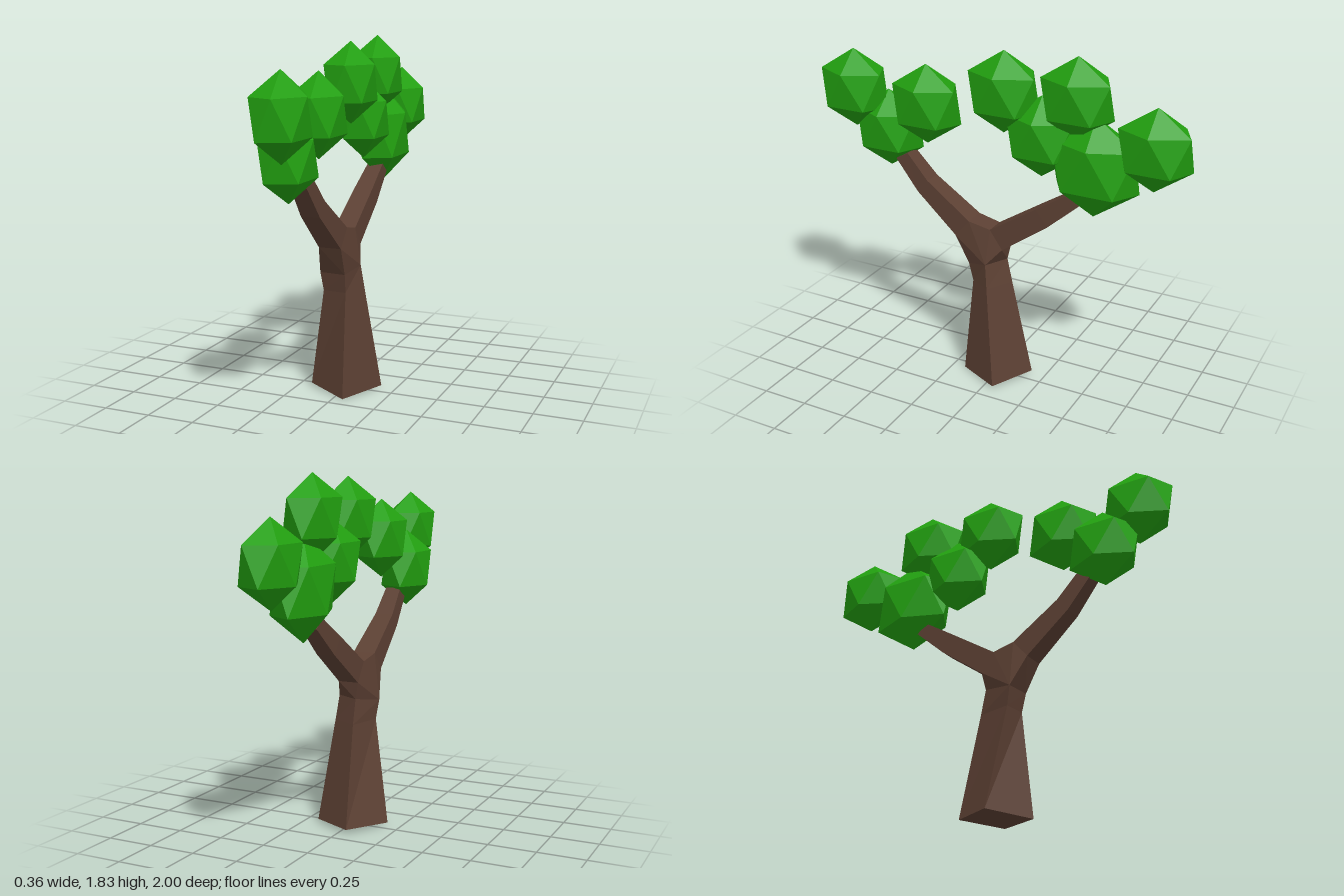
import * as THREE from 'three';
import { ConvexGeometry } from 'three/addons/geometries/ConvexGeometry.js';

const bark = new THREE.MeshStandardMaterial({ color: 0x5c4033, flatShading: true });
const leaf = new THREE.MeshStandardMaterial({ color: 0x22a010, flatShading: true });

// Skin over four-cornered rings, closed at both ends; corners run counterclockwise seen from the tip
function loft(rings) {
  const pos = [];
  const quad = (a, b, c, d) => pos.push(...a, ...b, ...c, ...a, ...c, ...d);
  for (let r = 0; r < rings.length - 1; r++) {
    for (let i = 0; i < 4; i++) {
      const j = (i + 1) % 4;
      quad(rings[r][i], rings[r][j], rings[r + 1][j], rings[r + 1][i]);
    }
  }
  const [a, b, c, d] = rings[0];
  quad(d, c, b, a);
  quad(...rings[rings.length - 1]);
  const geo = new THREE.BufferGeometry();
  geo.setAttribute('position', new THREE.Float32BufferAttribute(pos, 3));
  geo.computeVertexNormals();
  return geo;
}

// Branch ring from its lower and upper edge (y, z); a negative w is for branches that grow to -z
const branchRing = (w, [y0, z0], [y1, z1]) =>
  [[-w, y0, z0], [w, y0, z0], [w, y1, z1], [-w, y1, z1]];

export function createModel() {
  const tree = new THREE.Group();
  tree.name = 'tree';
  const add = (name, geo, mat, parent = tree) => {
    const mesh = new THREE.Mesh(geo, mat);
    mesh.name = name;
    parent.add(mesh);
    return mesh;
  };

  // Tapered, slightly twisted trunk
  const trunk = [
    [[0.05, 0, 0.18], [0.175, 0.015, -0.055], [-0.05, 0.025, -0.18], [-0.18, 0.015, 0.05]],
    [[0.045, 0.55, 0.125], [0.106, 0.55, 0.014], [-0.034, 0.55, -0.066], [-0.08, 0.55, 0.115]],
    [[0.05, 0.65, 0.147], [0.09, 0.68, 0.03], [-0.035, 0.68, -0.037], [-0.09, 0.65, 0.135]],
  ];
  add('trunk', loft(trunk), bark);

  // Two branches
  const front = [
    branchRing(0.06, [0.8, 0.22], [0.895, 0.14]),
    branchRing(0.05, [1.0, 0.45], [1.07, 0.39]),
    branchRing(0.042, [1.16, 0.58], [1.2, 0.51]),
  ];
  const back = [
    branchRing(-0.055, [0.77, -0.05], [0.87, 0.02]),
    branchRing(-0.05, [0.95, -0.3], [1.035, -0.235]),
    branchRing(-0.042, [1.1, -0.47], [1.15, -0.415]),
  ];
  add('frontBranch', loft(front), bark);
  add('backBranch', loft(back), bark);

  // Fork joining the trunk and the branches
  const corners = [...trunk[2], ...front[0], ...back[0]].map(p => new THREE.Vector3(...p));
  add('fork', new ConvexGeometry(corners), bark);

  // Leaf clumps: icosahedra with a corner on top, flattened across x
  const clump = new THREE.IcosahedronGeometry(1, 0);
  clump.rotateX(-Math.atan((1 + Math.sqrt(5)) / 2)).rotateY(Math.PI / 2);
  const foliage = new THREE.Group();
  foliage.name = 'foliage';
  tree.add(foliage);
  [ // x, y, z, radius
    [0.033, 1.51, 0.822, 0.209],
    [0.022, 1.48, 0.397, 0.209],
    [-0.018, 1.303, 0.648, 0.209],
    [0.008, 1.604, -0.035, 0.209],
    [-0.004, 1.405, -0.238, 0.209],
    [0.002, 1.623, -0.422, 0.209],
    [0, 1.295, -0.523, 0.257],
    [-0.002, 1.433, -0.822, 0.209],
  ].forEach(([x, y, z, r], i) => {
    const mesh = add('leafClump' + (i + 1), clump, leaf, foliage);
    mesh.position.set(x, y, z);
    mesh.scale.set(0.142, r, r);
  });
  return tree;
}
